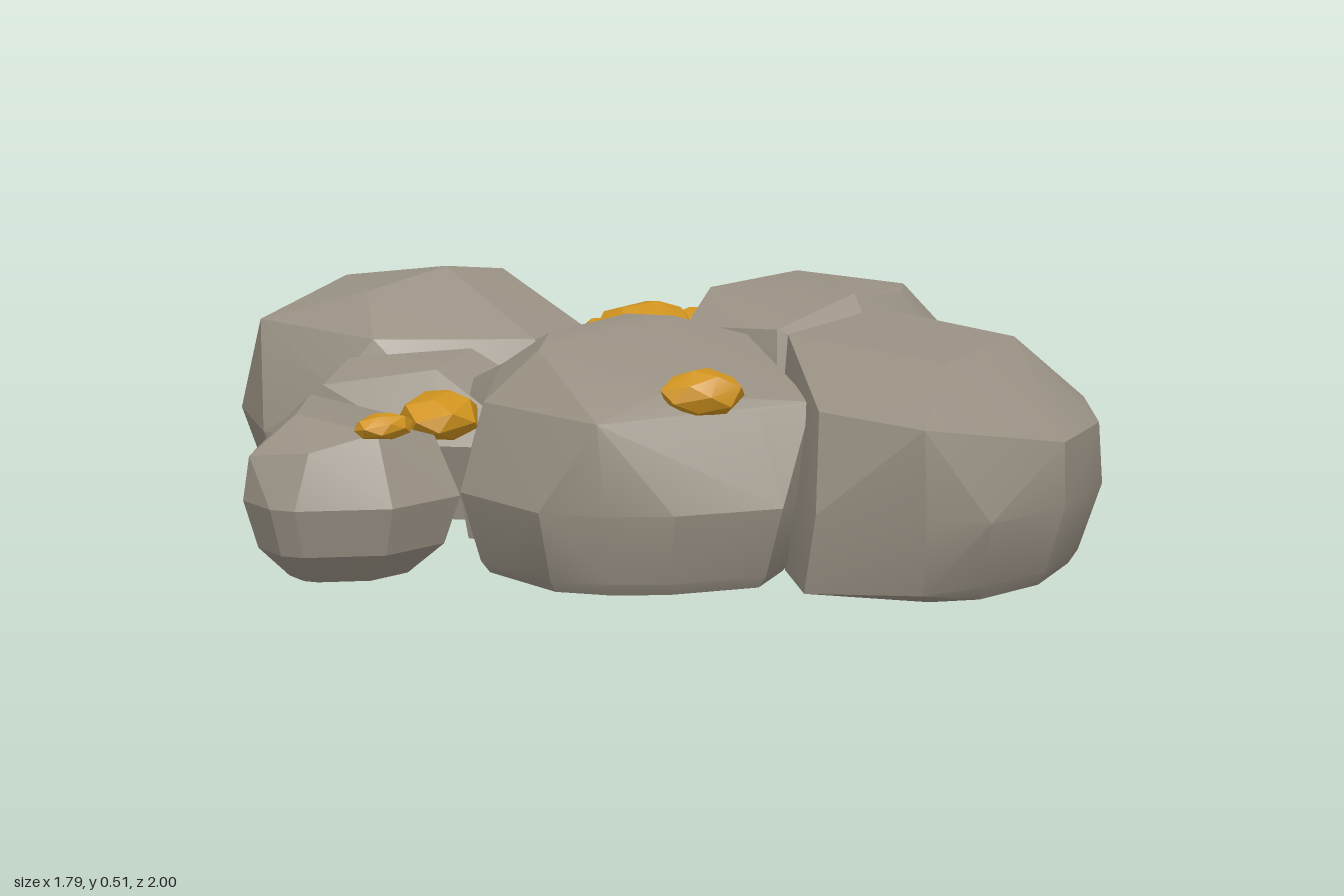
import * as THREE from 'three';
import { ConvexGeometry } from 'three/addons/geometries/ConvexGeometry.js';
import { toCreasedNormals } from 'three/addons/utils/BufferGeometryUtils.js';

const stone = new THREE.MeshStandardMaterial({ color: 0x989083 });
stone.name = 'stone';
const gold = new THREE.MeshStandardMaterial({ color: 0xcf931f });
gold.name = 'gold ore';

const hull = (points) => toCreasedNormals(new ConvexGeometry(points), 0.35);

// Boulder: widest outline [x, z] at height mid, extra corners [x, y, z],
// and base rings [y, scale] that shrink the outline down to the flat underside
function boulder(name, outline, corners, base, mid = 0.17) {
  const cx = outline.reduce((s, p) => s + p[0], 0) / outline.length;
  const cz = outline.reduce((s, p) => s + p[1], 0) / outline.length;
  const points = corners.map((p) => new THREE.Vector3(...p));
  for (const [x, z] of outline) {
    for (const [y, k] of [[mid, 1], ...base]) {
      points.push(new THREE.Vector3(cx + (x - cx) * k, y, cz + (z - cz) * k));
    }
  }
  const mesh = new THREE.Mesh(hull(points), stone);
  mesh.name = name;
  return mesh;
}

// Nugget: a faceted, irregular ellipsoid
function nugget(index, [x, y, z, rx, ry, rz, turn]) {
  const points = [];
  const count = 22;
  for (let i = 0; i < count; i++) {
    const h = 1 - (2 * (i + 0.5)) / count;
    const a = i * 2.4 + index;
    const r = Math.sqrt(1 - h * h);
    const wobble = 1.02 + 0.06 * Math.sin(i * 5.3 + index * 1.7);
    points.push(new THREE.Vector3(Math.cos(a) * r * rx, h * ry, Math.sin(a) * r * rz).multiplyScalar(wobble));
  }
  const mesh = new THREE.Mesh(hull(points), gold);
  mesh.name = `goldNugget${index + 1}`;
  mesh.position.set(x, y, z);
  mesh.rotation.y = turn;
  return mesh;
}

export function createModel() {
  const group = new THREE.Group();
  group.name = 'goldOreRocks';
  const wideBase = [[0.025, 0.89], [0, 0.84]];

  // Large boulders
  group.add(boulder('backBoulder',
    [[-0.26, -0.98], [0.02, -1], [0.25, -0.9], [0.37, -0.66], [0.33, -0.42], [0.2, -0.22],
      [0, -0.19], [-0.22, -0.28], [-0.38, -0.52], [-0.41, -0.74]],
    [[-0.32, 0.4, -0.84], [-0.08, 0.475, -0.81], [0.19, 0.45, -0.7], [0, 0.51, -0.57], [0.2, 0.48, -0.58],
      [-0.2, 0.47, -0.62], [0.33, 0.34, -0.55], [0.06, 0.355, -0.92], [0.18, 0.38, -0.32],
      [-0.03, 0.38, -0.27], [-0.3, 0.39, -0.5], [-0.37, 0.28, -0.56],
      [0.04, 0, -0.2], [-0.2, 0, -0.29], [-0.37, 0, -0.54], [0.19, 0, -0.25]], [[0, 0.87]]));
  group.add(boulder('rightBoulder',
    [[-0.58, 0.24], [-0.55, 0], [-0.4, -0.13], [0.03, -0.15], [0.12, 0], [0.14, 0.3],
      [-0.08, 0.53], [-0.24, 0.58], [-0.43, 0.46], [-0.52, 0.36]],
    [[-0.52, 0.35, 0.34], [-0.4, 0.45, 0.08], [-0.22, 0.35, 0.5], [-0.11, 0.36, 0.55], [-0.36, 0.39, 0.36],
      [0, 0.47, 0.1], [0.1, 0.43, 0.22], [-0.28, 0.46, 0], [0, 0.46, -0.03], [-0.5, 0.35, 0.02],
      [-0.3, 0.38, -0.12], [0, 0.38, -0.12]], wideBase));
  group.add(boulder('leftBoulder',
    [[0.895, 0.26], [0.89, 0.03], [0.74, -0.28], [0.47, -0.34], [0.2, -0.2], [0.08, 0],
      [0.1, 0.3], [0.3, 0.48], [0.54, 0.46]],
    [[0.36, 0.495, 0.31], [0.645, 0.475, 0.24], [0.645, 0.475, -0.06], [0.25, 0.49, 0], [0.55, 0.47, 0.3],
      [0.14, 0.44, 0.27], [0.14, 0.42, 0.02], [0.76, 0.335, 0.31], [0.52, 0.35, 0.45], [0.28, 0.35, 0.46],
      [0.7, 0.36, -0.15], [0.42, 0.37, -0.16]], wideBase));
  group.add(boulder('frontBoulder',
    [[-0.24, 0.66], [-0.18, 0.88], [-0.08, 0.96], [0.13, 0.995], [0.36, 0.94], [0.46, 0.86],
      [0.5, 0.73], [0.5, 0.64], [0.43, 0.38], [0.2, 0.33], [0, 0.38], [-0.14, 0.52]],
    [[-0.18, 0.357, 0.87], [-0.18, 0.36, 0.62], [-0.01, 0.455, 0.8], [0.28, 0.465, 0.77], [0.31, 0.48, 0.41],
      [0.02, 0.46, 0.39], [0.44, 0.36, 0.42], [0.46, 0.32, 0.83], [0.13, 0.3, 0.99], [0.34, 0.3, 0.94],
      [-0.235, 0.005, 0.63], [-0.145, 0.02, 0.85], [-0.1, 0, 0.48]],
    [[0.03, 0.86], [0, 0.8]]));

  // Smaller stones
  group.add(boulder('smallStone',
    [[-0.9, -0.18], [-0.88, -0.28], [-0.75, -0.41], [-0.57, -0.41], [-0.46, -0.28],
      [-0.48, -0.1], [-0.57, 0.02], [-0.74, 0], [-0.88, -0.13]],
    [[-0.87, 0.26, -0.27], [-0.76, 0.33, -0.25], [-0.6, 0.33, -0.38], [-0.5, 0.29, -0.25], [-0.56, 0.28, -0.06],
      [-0.72, 0.31, -0.06], [-0.84, 0.28, -0.13]], [[0.07, 0.86], [0.005, 0.55]]));
  group.add(boulder('wedgedStone',
    [[-0.5, -0.46], [-0.38, -0.54], [-0.2, -0.42], [-0.05, -0.2], [-0.1, 0], [-0.32, 0], [-0.45, -0.2]],
    [[-0.48, 0.32, -0.47], [-0.37, 0.36, -0.5], [-0.2, 0.38, -0.3], [-0.35, 0.36, -0.26]], [[0.1, 0.8]], 0.22));
  group.add(boulder('middleStone',
    [[-0.36, -0.2], [-0.12, -0.24], [0.05, -0.2], [0.08, -0.06], [-0.32, 0]],
    [[-0.33, 0.35, -0.17], [-0.12, 0.36, -0.22], [0.02, 0.36, -0.18], [0.04, 0.43, -0.05], [-0.3, 0.43, -0.02]],
    [[0, 0.86]]));

  // Gold nuggets: position, radii, turn
  [
    [0.085, 0.395, -0.832, 0.125, 0.046, 0.078, -0.25],
    [0.1, 0.42, -0.07, 0.132, 0.048, 0.102, 0.2],
    [0.275, 0.335, -0.315, 0.09, 0.052, 0.08, 0.5],
    [0.383, 0.35, -0.235, 0.1, 0.036, 0.07, 0.4],
    [0.675, 0.305, -0.365, 0.13, 0.046, 0.093, -0.15],
    [0.42, 0.27, -0.48, 0.072, 0.027, 0.05, 0.2],
    [-0.7, 0.32, -0.065, 0.064, 0.028, 0.038, -0.3],
    [-0.48, 0.3, -0.125, 0.115, 0.052, 0.085, 0.6],
    [-0.37, 0.23, -0.55, 0.035, 0.05, 0.045, 0],
    [-0.3, 0.39, 0.425, 0.085, 0.048, 0.06, -0.6],
  ].forEach((spec, i) => group.add(nugget(i, spec)));

  return group;
}
